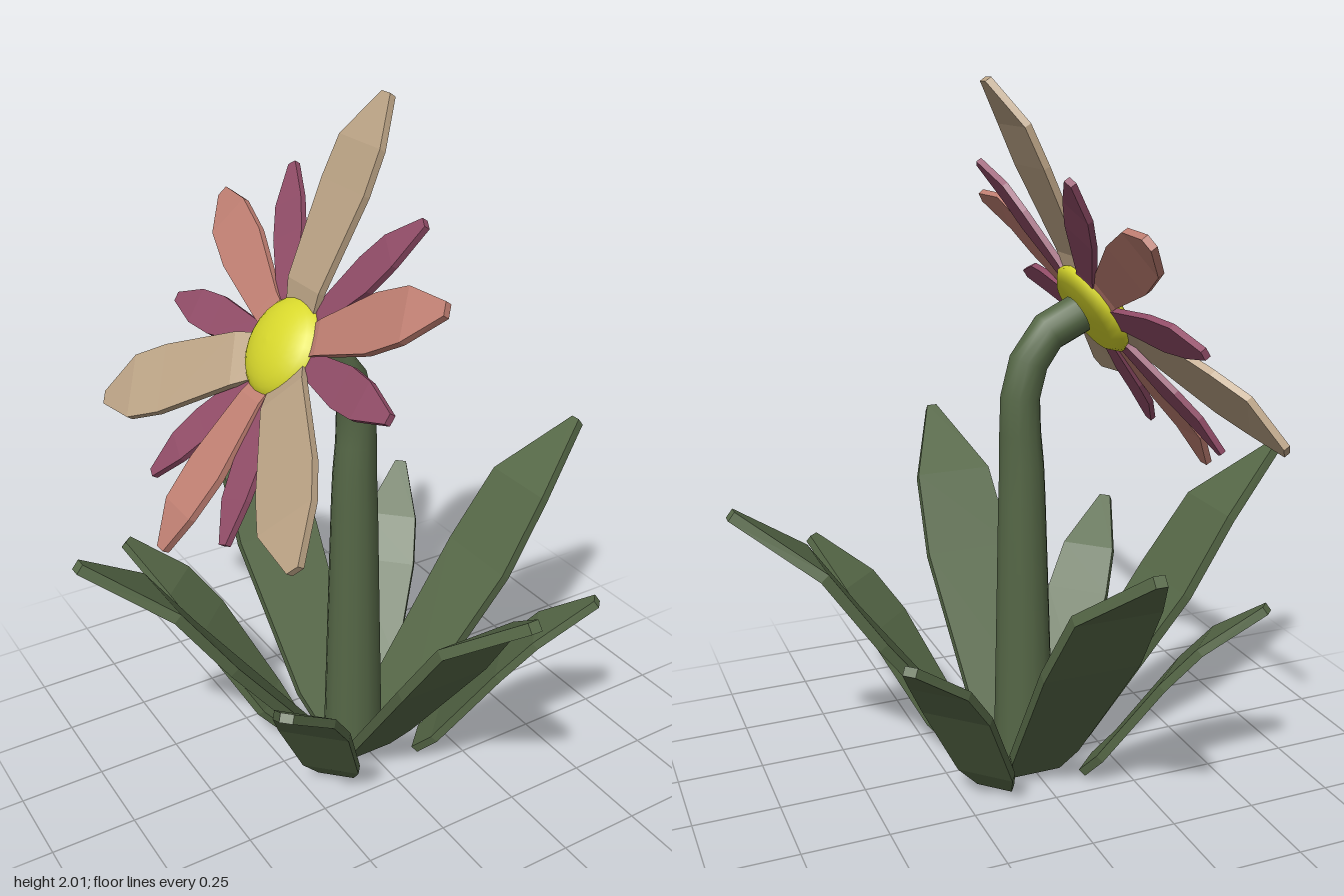
import * as THREE from 'three';

const mat = (color, flatShading = false) => new THREE.MeshStandardMaterial({ color, flatShading });
const GREEN = 0x566847, TAN = 0xbba385, SALMON = 0xc18073, PURPLE = 0x924d68, YELLOW = 0xd8d82c;

// Thin bent blade running along +z: each station is [distance, height, halfWidth]
function bladeGeometry(stations, thickness) {
  const pos = [], idx = [];
  stations.forEach(([d, h, w], i) => {
    const a = stations[Math.max(i - 1, 0)], b = stations[Math.min(i + 1, stations.length - 1)];
    const len = Math.hypot(b[0] - a[0], b[1] - a[1]);
    const nz = -(b[1] - a[1]) / len * thickness / 2, ny = (b[0] - a[0]) / len * thickness / 2;
    pos.push(-w, h + ny, d + nz, w, h + ny, d + nz, w, h - ny, d - nz, -w, h - ny, d - nz);
  });
  const quad = (a, b, c, d) => idx.push(a, b, c, a, c, d);
  for (let i = 0; i < stations.length - 1; i++) {
    for (let k = 0; k < 4; k++) {
      const a = i * 4 + k, b = i * 4 + (k + 1) % 4;
      quad(a, a + 4, b + 4, b);
    }
  }
  const e = (stations.length - 1) * 4;
  quad(0, 1, 2, 3);
  quad(e + 3, e + 2, e + 1, e);
  const g = new THREE.BufferGeometry();
  g.setAttribute('position', new THREE.Float32BufferAttribute(pos, 3));
  g.setIndex(idx);
  const flat = g.toNonIndexed();
  flat.computeVertexNormals();
  return flat;
}

// Copies of one blade turned about the y axis
function addBlades(parent, name, geometry, color, degrees) {
  const material = mat(color, true);
  degrees.forEach((deg) => {
    const m = new THREE.Mesh(geometry, material);
    m.name = name;
    m.rotation.y = THREE.MathUtils.degToRad(deg);
    parent.add(m);
  });
}

// Tapered, bent stem with closed ends
function makeStem() {
  const stem = new THREE.Group();
  stem.name = 'stem';
  const curve = new THREE.CatmullRomCurve3([
    [0, 0.02], [0.003, 0.5], [0.006, 0.92], [0.006, 1.17], [-0.055, 1.305], [-0.165, 1.365],
  ].map(([x, y]) => new THREE.Vector3(x, y, 0)));
  const segs = 14, sides = 14;
  const radius = (t) => (t < 0.6 ? 0.092 - 0.04 * t : Math.max(0.057, 0.068 - 0.07 * (t - 0.6)));
  const g = new THREE.TubeGeometry(curve, segs, 1, sides);
  const p = g.attributes.position, v = new THREE.Vector3();
  for (let i = 0; i < p.count; i++) {
    const t = Math.floor(i / (sides + 1)) / segs, c = curve.getPointAt(t);
    v.fromBufferAttribute(p, i).sub(c).multiplyScalar(radius(t)).add(c);
    p.setXYZ(i, v.x, v.y, v.z);
  }
  const material = mat(GREEN);
  stem.add(new THREE.Mesh(g, material));
  [[0, -1], [1, 1]].forEach(([t, dir]) => {
    const cap = new THREE.Mesh(new THREE.CircleGeometry(radius(t), sides), material);
    cap.position.copy(curve.getPointAt(t));
    cap.quaternion.setFromUnitVectors(new THREE.Vector3(0, 0, 1), curve.getTangentAt(t).multiplyScalar(dir));
    stem.add(cap);
  });
  stem.children.forEach((m, i) => { m.name = ['stemTube', 'stemBottom', 'stemTop'][i]; });
  return stem;
}

// Flower head, built facing +y, then tilted toward -x
function makeFlower() {
  const flower = new THREE.Group();
  flower.name = 'flowerHead';

  // Domed centre with a flat back
  const profile = [[0, -0.02], [0.12, -0.02]];
  for (let i = 0; i <= 8; i++) {
    const a = i / 8 * Math.PI / 2;
    profile.push([0.148 * Math.cos(a), 0.005 + 0.075 * Math.sin(a)]);
  }
  const dome = new THREE.Mesh(
    new THREE.LatheGeometry(profile.map(([r, y]) => new THREE.Vector2(Math.max(r, 0), y)), 24), mat(YELLOW));
  dome.name = 'flowerCentre';
  flower.add(dome);

  // Three kinds of petals
  addBlades(flower, 'largePetal', bladeGeometry([
    [0.06, 0, 0.06], [0.17, 0.045, 0.08], [0.44, 0.08, 0.105], [0.56, 0.098, 0.098], [0.7, 0.095, 0.02],
  ], 0.02), TAN, [0, 126, -126]);
  addBlades(flower, 'mediumPetal', bladeGeometry([
    [0.06, 0, 0.04], [0.16, 0.03, 0.05], [0.38, 0.055, 0.08], [0.51, 0.07, 0.072], [0.63, 0.06, 0.018],
  ], 0.02), SALMON, [63, -63, 180]);
  addBlades(flower, 'smallPetal', bladeGeometry([
    [0.06, 0, 0.03], [0.15, 0.02, 0.035], [0.33, 0.035, 0.058], [0.43, 0.045, 0.052], [0.55, 0.045, 0.014],
  ], 0.018), PURPLE, [36, -36, 95, -90, 155, -157]);

  const normal = new THREE.Vector3(-0.83, 0.55, 0).normalize();
  const up = new THREE.Vector3(-normal.y * -1, -normal.x, 0);
  flower.quaternion.setFromRotationMatrix(
    new THREE.Matrix4().makeBasis(new THREE.Vector3(0, 0, -1), normal, up));
  flower.position.set(-0.2, 1.37, 0);
  return flower;
}

export function createModel() {
  const model = new THREE.Group();
  model.name = 'flowerPlant';
  model.add(makeStem(), makeFlower());

  // Leaves: four tall ones on the axes, four short ones on the diagonals
  const leaves = new THREE.Group();
  leaves.name = 'leaves';
  addBlades(leaves, 'tallLeaf', bladeGeometry([
    [0.09, 0.012, 0.075], [0.16, 0.1, 0.105], [0.47, 0.51, 0.14], [0.62, 0.73, 0.122], [0.838, 0.9, 0.016],
  ], 0.03), GREEN, [0, 90, 180, 270]);
  addBlades(leaves, 'shortLeaf', bladeGeometry([
    [0.21, 0.025, 0.055], [0.275, 0.1, 0.085], [0.46, 0.37, 0.1], [0.56, 0.49, 0.085], [0.72, 0.615, 0.018],
  ], 0.025), GREEN, [45, 135, 225, 315]);
  model.add(leaves);
  return model;
}
